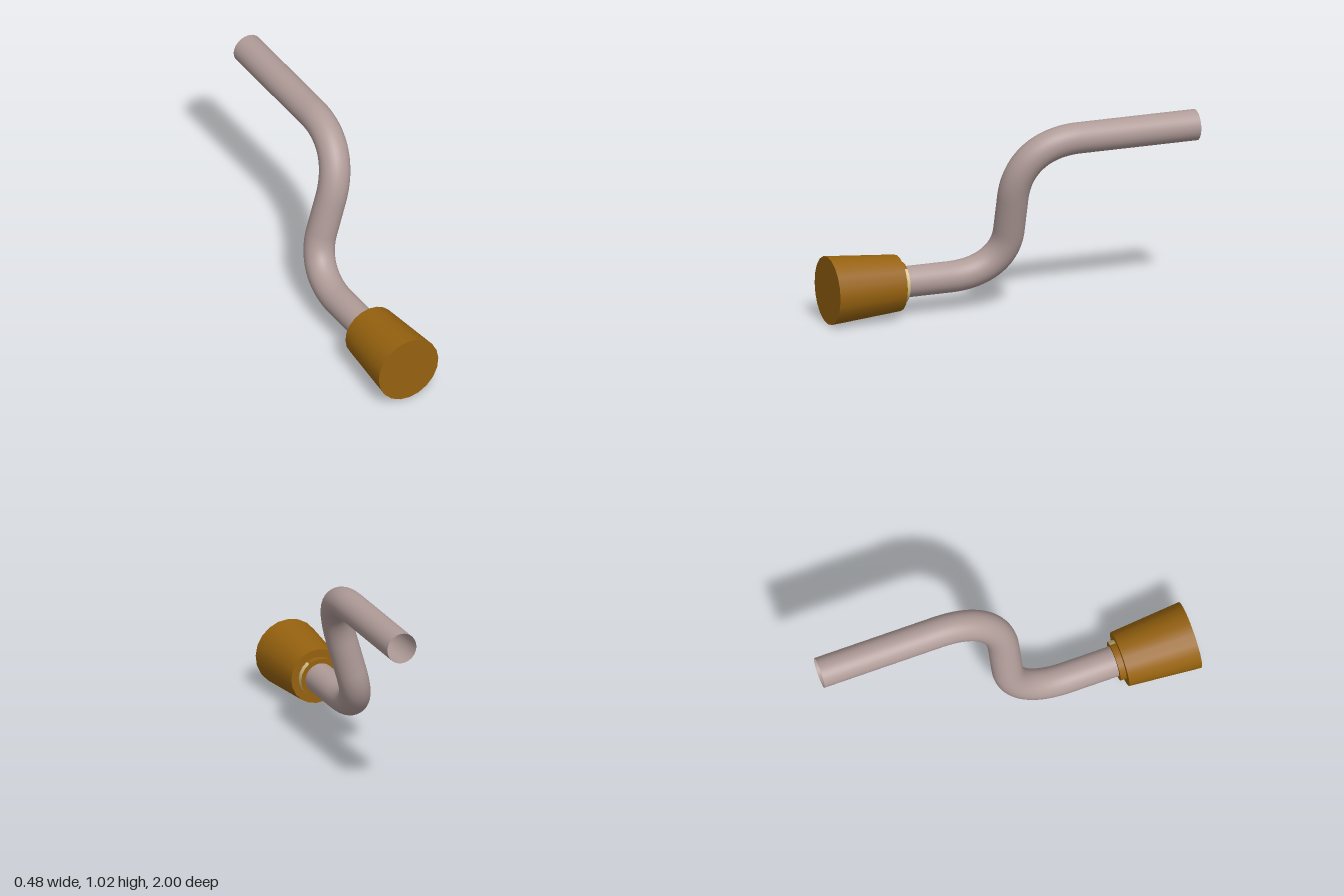
import * as THREE from 'three';

const steel = new THREE.MeshStandardMaterial({ color: 0xb09c99, side: THREE.DoubleSide });
steel.name = 'dusty steel';
const wood = new THREE.MeshStandardMaterial({ color: 0x96620f });
wood.name = 'amber wood';
const cream = new THREE.MeshStandardMaterial({ color: 0xd8c48a });
cream.name = 'cream';

const SIDES = 20;
const AXIS_X = -0.06, AXIS_Y = 0.185, TWIST = 0.028;

function part(name, geometry, material) {
  const mesh = new THREE.Mesh(geometry, material);
  mesh.name = name;
  return mesh;
}

// Cylinder section lying along z, between z0 and z1, around the grip axis
function section(z0, r0, z1, r1, open, sides = SIDES, start = 0, sweep = Math.PI * 2) {
  return new THREE.CylinderGeometry(r1, r0, z1 - z0, sides, 1, open, start, sweep)
    .rotateX(Math.PI / 2)
    .rotateZ(TWIST)
    .translate(AXIS_X, AXIS_Y, (z0 + z1) / 2);
}

// Point on the slanted plane of the crank: x follows height
function at(y, z) {
  return new THREE.Vector3(AXIS_X + (y - AXIS_Y) * 0.287, y, z);
}

export function createModel() {
  const group = new THREE.Group();
  group.name = 'crankHandle';

  // Bent rod: two straight ends and an upright middle, joined by soft bends
  const path = new THREE.CurvePath();
  path.add(new THREE.LineCurve3(at(0.185, 0.62), at(0.185, 0.31)));
  path.add(new THREE.CubicBezierCurve3(at(0.185, 0.31), at(0.185, 0.13), at(0.27, 0), at(0.43, 0)));
  path.add(new THREE.LineCurve3(at(0.43, 0), at(0.62, 0)));
  path.add(new THREE.CubicBezierCurve3(at(0.62, 0), at(0.82, 0), at(0.935, -0.13), at(0.935, -0.34)));
  path.add(new THREE.LineCurve3(at(0.935, -0.34), at(0.935, -1)));
  group.add(part('rod', new THREE.TubeGeometry(path, 110, 0.083, 32, false), steel));

  // Tapered grip
  group.add(part('grip', section(0.605, 0.15, 1, 0.183, false), wood));

  // Collar behind the grip, with a cream patch on its left side
  const step = Math.PI * 2 / SIDES;
  const collar = new THREE.Group();
  collar.name = 'collar';
  collar.add(
    part('collarRim', section(0.572, 0.108, 0.606, 0.108, true, 14, 8 * step, 14 * step), wood),
    part('collarPatch', section(0.572, 0.108, 0.606, 0.108, true, 6, 2 * step, 6 * step), cream),
    part('collarFace', new THREE.RingGeometry(0.07, 0.108, SIDES)
      .rotateY(Math.PI).rotateZ(TWIST).translate(AXIS_X, AXIS_Y, 0.572), wood)
  );
  group.add(collar);

  return group;
}
